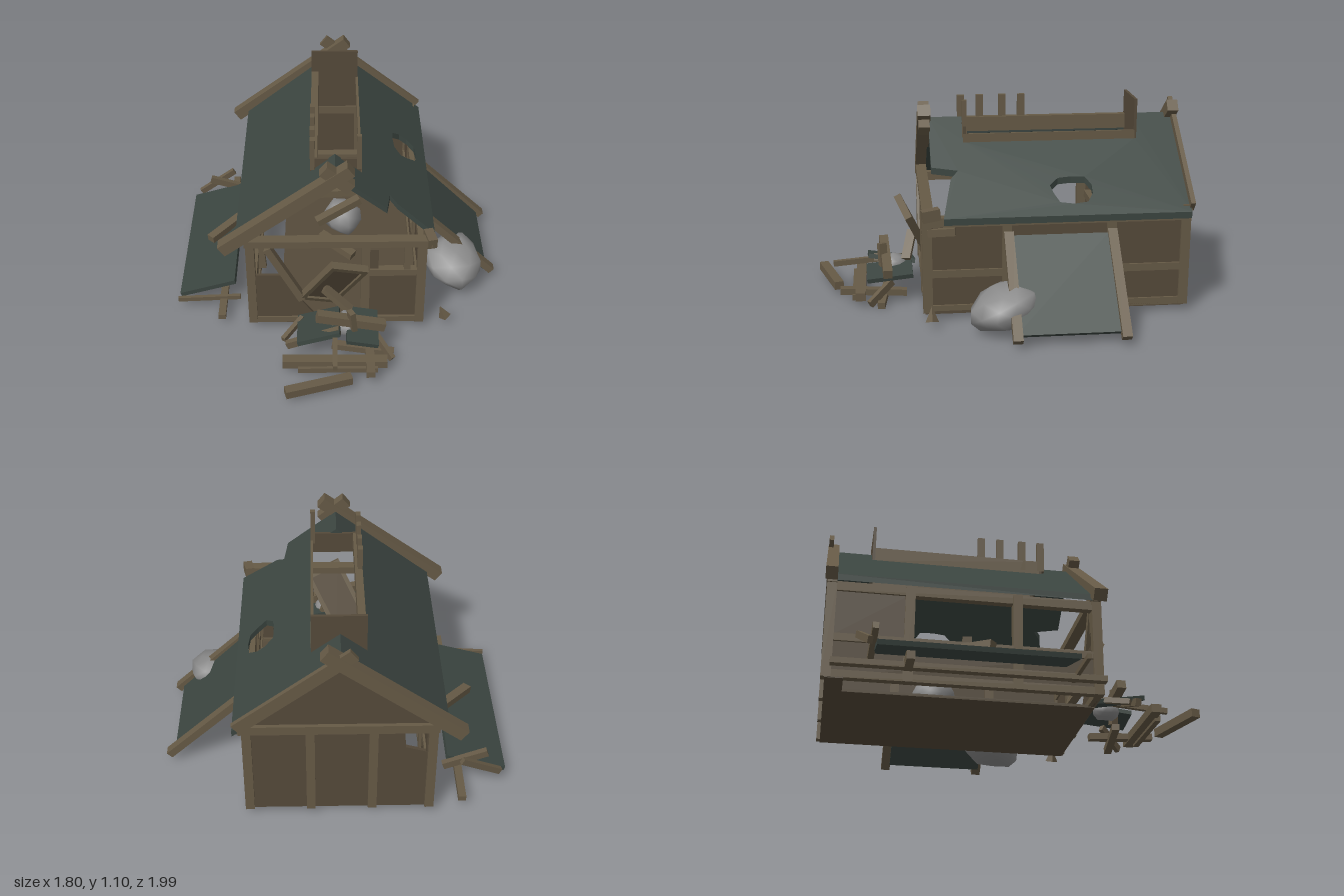
import * as THREE from 'three';
import { mergeVertices } from 'three/addons/utils/BufferGeometryUtils.js';

const mat = (color) => new THREE.MeshStandardMaterial({ color, side: THREE.DoubleSide, flatShading: true });
const WOOD = mat(0x665a46), WALL = mat(0x554a3a), SLATE = mat(0x3b4540);
const STONE = new THREE.MeshStandardMaterial({ color: 0x8a8a8a });
const V = (p) => new THREE.Vector3(...p);
const RIDGE = -0.02, SLOPE = 0.783;

export function createModel() {
  const root = new THREE.Group();
  const add = (name, geo, m) => {
    const mesh = new THREE.Mesh(geo, m);
    mesh.name = name;
    root.add(mesh);
    return mesh;
  };
  // Box given by its two opposite corners
  const block = (name, a, b, m = WOOD) => {
    const lo = V(a), hi = V(b), s = hi.clone().sub(lo);
    const mesh = add(name, new THREE.BoxGeometry(Math.abs(s.x), Math.abs(s.y), Math.abs(s.z)), m);
    mesh.position.copy(lo.add(hi).multiplyScalar(0.5));
    return mesh;
  };
  // Timber running from a to b
  const beam = (name, a, b, w = 0.05, h = 0.05, m = WOOD) => {
    const A = V(a), B = V(b);
    const mesh = add(name, new THREE.BoxGeometry(w, h, A.distanceTo(B)), m);
    mesh.position.copy(A).add(B).multiplyScalar(0.5);
    mesh.lookAt(B);
    return mesh;
  };
  // Tilted box
  const slab = (name, size, pos, rot, m) => {
    const mesh = add(name, new THREE.BoxGeometry(...size), m);
    mesh.position.set(...pos);
    mesh.rotation.set(...rot);
    return mesh;
  };
  const outline = (pts) => new THREE.Shape(pts.map((p) => new THREE.Vector2(...p)));
  const upright = (name, shape, z, depth, m) => {
    add(name, new THREE.ExtrudeGeometry(shape, { depth, bevelEnabled: false }), m).position.z = z;
  };

  // Floor with an open strip on one side
  block('floor', [-0.32, 0.035, -0.97], [0.46, 0.05, 0.41], WALL);
  block('floorEnd', [-0.49, 0.035, -0.97], [-0.32, 0.05, -0.88], WALL);

  // Back wall with gable and a broken corner panel
  const back = outline([[-0.48, 0.04], [0.45, 0.04], [0.45, 0.6], [RIDGE, 0.95], [-0.48, 0.6]]);
  back.holes.push(outline([[-0.44, 0.41], [-0.44, 0.55], [-0.33, 0.55], [-0.34, 0.44]]));
  upright('backWall', back, -0.97, 0.02, WALL);
  for (const x of [-0.47, -0.18, 0.13, 0.44]) block('backPost', [x - 0.022, 0.04, -0.99], [x + 0.022, 0.57, -0.94]);
  block('backTopBeam', [-0.5, 0.55, -0.99], [0.48, 0.6, -0.94]);

  // Front wall
  for (const x of [-0.47, 0.14, 0.437]) block('frontPost', [x - 0.023, 0.04, 0.37], [x + 0.023, 0.56, 0.42]);
  block('frontTopBeam', [-0.5, 0.56, 0.36], [0.49, 0.6, 0.42]);
  upright('frontLeftPanel', outline([[-0.45, 0.04], [-0.1, 0.04], [-0.25, 0.25], [-0.29, 0.365], [-0.45, 0.365]]), 0.39, 0.015, WALL);
  block('frontRightPanel', [0.16, 0.04, 0.385], [0.42, 0.365, 0.4], WALL);
  block('frontRail', [0.16, 0.365, 0.375], [0.42, 0.405, 0.415]);
  block('windowPost', [0.345, 0.4, 0.38], [0.38, 0.56, 0.41]);
  block('windowBoard', [0.16, 0.4, 0.385], [0.21, 0.53, 0.4], WALL);
  block('frontSill', [-0.45, 0.04, 0.375], [0.42, 0.075, 0.415]);
  beam('frontBrace', [-0.38, 0.55, 0.4], [-0.2, 0.2, 0.4], 0.045, 0.04);
  beam('brokenStud', [-0.4, 0.42, 0.395], [-0.41, 0.56, 0.395], 0.03, 0.03);

  // Side walls: the right one boarded, the left one open above the rail
  for (const [side, x] of [['right', 0.44], ['left', -0.47]]) {
    for (const z of [0.395, -0.02, -0.57, -0.965]) block(side + 'Post', [x - 0.023, 0.04, z - 0.025], [x + 0.023, 0.56, z + 0.025]);
    for (const [y, h] of [[0.04, 0.04], [0.235, 0.04], [0.51, 0.05]]) block(side + 'Rail', [x - 0.02, y, -0.98], [x + 0.02, y + h, 0.41]);
    block(side + 'LowerBoards', [x - 0.008, 0.05, -0.96], [x + 0.008, 0.24, 0.4], WALL);
    block(side + 'UpperBoards', [x - 0.008, 0.26, -0.96], [x + 0.008, 0.52, side === 'right' ? 0.4 : -0.57], WALL);
  }

  // Roof slopes: cut out in plan, then lifted to the pitch
  const roof = (name, pts, hole) => {
    const shape = outline(pts.map(([x, z]) => [x, -z]));
    if (hole) shape.holes.push(outline(hole.map(([x, z]) => [x, -z])));
    const geo = new THREE.ExtrudeGeometry(shape, { depth: 0.035, bevelEnabled: false }).rotateX(-Math.PI / 2);
    const p = geo.attributes.position;
    for (let i = 0; i < p.count; i++) p.setY(i, p.getY(i) + 0.95 - SLOPE * Math.abs(p.getX(i) - RIDGE));
    geo.computeVertexNormals();
    add(name, geo, SLATE);
  };
  const gap = [];
  for (let i = 0; i < 10; i++) {
    const a = (i / 10) * Math.PI * 2, r = 1 + 0.1 * Math.sin(i * 2.3);
    gap.push([0.38 + 0.072 * r * Math.cos(a), -0.37 + 0.115 * r * Math.sin(a)]);
  }
  roof('roofRight', [[RIDGE, 0.36], [0.25, 0.36], [0.27, 0.22], [0.31, 0.26], [0.51, 0.31], [0.51, -0.98],
    [RIDGE, -0.98], [RIDGE, -0.75], [0.12, -0.75], [0.12, 0.17], [RIDGE, 0.17]], gap);
  roof('roofLeft', [[RIDGE, 0.36], [-0.55, 0.36], [-0.55, -0.98], [RIDGE, -0.98], [RIDGE, -0.75],
    [-0.13, -0.75], [-0.13, 0.17], [RIDGE, 0.17]]);

  // Crossed barge boards
  beam('frontBargeLeft', [0.06, 1.04, 0.385], [-0.62, 0.535, 0.385], 0.07, 0.065);
  beam('frontBargeStub', [-0.08, 1.04, 0.385], [0.06, 0.925, 0.385], 0.06, 0.065);
  beam('backBargeLeft', [0.06, 1.04, -0.97], [-0.62, 0.535, -0.97], 0.06, 0.065);
  beam('backBargeRight', [-0.08, 1.04, -0.985], [0.49, 0.59, -0.985], 0.025, 0.065);
  block('eaveBeam', [0.45, 0.54, -0.97], [0.49, 0.58, 0.2]);
  beam('brokenEave', [0.49, 0.58, 0.42], [0.47, 0.59, 0.33], 0.05, 0.06);
  beam('brokenEaveSplinter', [0.45, 0.48, 0.39], [0.47, 0.49, 0.25], 0.03, 0.04);

  // Framed opening along the ridge
  block('openingBackBoard', [-0.15, 0.84, -0.76], [0.12, 1.09, -0.745], WALL);
  block('openingFrontBoard', [-0.15, 0.84, 0.165], [0.12, 0.96, 0.18], WALL);
  block('openingRailLeft', [-0.15, 0.88, -0.75], [-0.11, 0.96, 0.18]);
  block('openingRailRight', [0.108, 0.86, -0.75], [0.122, 0.92, 0.18]);
  for (const z of [0.175, 0.07, -0.055, -0.16]) block('openingPost', [-0.15, 0.9, z - 0.02], [-0.125, 1.08, z + 0.02]);
  block('openingCornerPost', [0.095, 0.9, 0.16], [0.12, 1.1, 0.185]);

  // Fallen timbers inside
  for (const [a, b] of [[[-0.12, 0.5, -0.55], [0.12, 0.5, -0.55]], [[-0.14, 0.45, -0.23], [0.12, 0.48, -0.21]],
    [[-0.12, 0.4, -0.02], [0.12, 0.5, -0.1]], [[-0.1, 0.35, 0.03], [0.08, 0.3, 0.16]]]) beam('insideTimber', a, b, 0.05, 0.04);

  // Lean-to at the side
  beam('leanToRoof', [0.46, 0.45, -0.285], [0.85, 0.06, -0.285], 0.53, 0.025, SLATE);
  for (const z of [-0.572, -0.028]) beam('leanToRafter', [0.45, 0.465, z], [0.89, 0.045, z], 0.05, 0.04);

  // Fallen roof sheet beside the house
  beam('fallenSheet', [-0.89, 0.06, -0.27], [-0.58, 0.15, -0.27], 0.95, 0.025, SLATE);
  block('fallenPurlin', [-0.665, 0.04, -0.95], [-0.625, 0.07, 0.39]);
  beam('sheetPlank', [-0.75, 0.15, -0.19], [-0.56, 0.18, -0.4], 0.05, 0.04);
  beam('sheetPlank', [-0.9, 0.06, 0.24], [-0.55, 0.08, 0.245], 0.02, 0.025);
  beam('sheetPlank', [-0.86, 0.08, -0.775], [-0.65, 0.2, -0.825], 0.025, 0.035);
  beam('sheetPlank', [-0.79, 0.19, -0.75], [-0.56, 0.11, -0.76], 0.03, 0.04);
  block('sheetProp', [-0.77, 0.04, -0.6], [-0.62, 0.1, -0.56]);

  // Door fallen out of its opening
  const door = new THREE.Group();
  door.name = 'fallenDoor';
  for (const [w, h, x, y, d, m] of [[0.19, 0.37, 0, 0, 0.015, WALL], [0.025, 0.4, -0.095, 0, 0.04, WOOD], [0.025, 0.4, 0.095, 0, 0.04, WOOD],
    [0.2, 0.03, 0, 0.185, 0.04, WOOD], [0.2, 0.03, 0, -0.185, 0.04, WOOD]]) {
    const part = new THREE.Mesh(new THREE.BoxGeometry(w, h, d), m);
    part.position.set(x, y, 0);
    door.add(part);
  }
  door.position.set(-0.03, 0.34, 0.44);
  door.rotation.set(0.45, 0.1, -0.45);
  root.add(door);

  // Rubble in front
  slab('rubbleSlate', [0.23, 0.025, 0.26], [-0.11, 0.16, 0.58], [-0.15, 0, 0.25], SLATE);
  slab('rubbleSlate', [0.17, 0.025, 0.25], [0.12, 0.16, 0.59], [0.1, 0, -0.2], SLATE);
  for (const [a, b, w, h] of [
    [[-0.3, 0.065, 0.75], [0.25, 0.06, 0.75], 0.055, 0.045],
    [[-0.22, 0.04, 0.78], [0.2, 0.04, 0.78], 0.03, 0.03],
    [[-0.12, 0.265, 0.62], [0.24, 0.18, 0.6], 0.05, 0.05],
    [[-0.28, 0.06, 0.97], [0.06, 0.06, 0.87], 0.05, 0.045],
    [[-0.025, 0.16, 0.9], [-0.025, 0.19, 0.55], 0.025, 0.03],
    [[0.16, 0.07, 0.86], [0.16, 0.05, 0.5], 0.045, 0.035],
    [[-0.3, 0.09, 0.61], [-0.2, 0.13, 0.48], 0.025, 0.03],
    [[0.28, 0.03, 0.7], [0.18, 0.12, 0.58], 0.025, 0.04],
    [[-0.28, 0.1, 0.66], [0.0, 0.2, 0.66], 0.03, 0.04],
    [[-0.04, 0.045, 0.6], [0.29, 0.022, 0.64], 0.04, 0.035],
    [[0.08, 0.1, 0.62], [0.06, 0.3, 0.63], 0.045, 0.03],
    [[-0.08, 0.32, 0.46], [0.06, 0.2, 0.5], 0.05, 0.03],
  ]) beam('rubblePlank', a, b, w, h);
  const chip = add('splinter', new THREE.ConeGeometry(0.035, 0.08, 4), WOOD);
  chip.position.set(0.57, 0.08, 0.38);
  chip.rotation.z = 0.4;

  // Boulders: an uneven rounded lump
  const boulder = (name, radii, pos, tilt, seed) => {
    let geo = new THREE.IcosahedronGeometry(1, 1);
    geo.deleteAttribute('uv');
    geo.deleteAttribute('normal');
    geo = mergeVertices(geo, 1e-3);
    const p = geo.attributes.position, v = new THREE.Vector3();
    for (let i = 0; i < p.count; i++) {
      v.fromBufferAttribute(p, i).multiplyScalar(1 + 0.09 * Math.sin(i * 2.7 + seed));
      p.setXYZ(i, v.x * radii[0], v.y * radii[1], v.z * radii[2]);
    }
    geo.computeVertexNormals();
    const mesh = add(name, geo, STONE);
    mesh.position.set(...pos);
    mesh.rotation.set(...tilt);
  };
  boulder('sideBoulder', [0.17, 0.105, 0.175], [0.66, 0.145, 0.02], [0.4, 0.2, -0.1], 1);
  boulder('insideBoulder', [0.11, 0.11, 0.12], [0.03, 0.17, -0.38], [0, 0.3, 0], 2);
  boulder('frontBoulder', [0.06, 0.06, 0.08], [0.04, 0.17, 0.57], [0, 0, 0], 3);
  return root;
}
